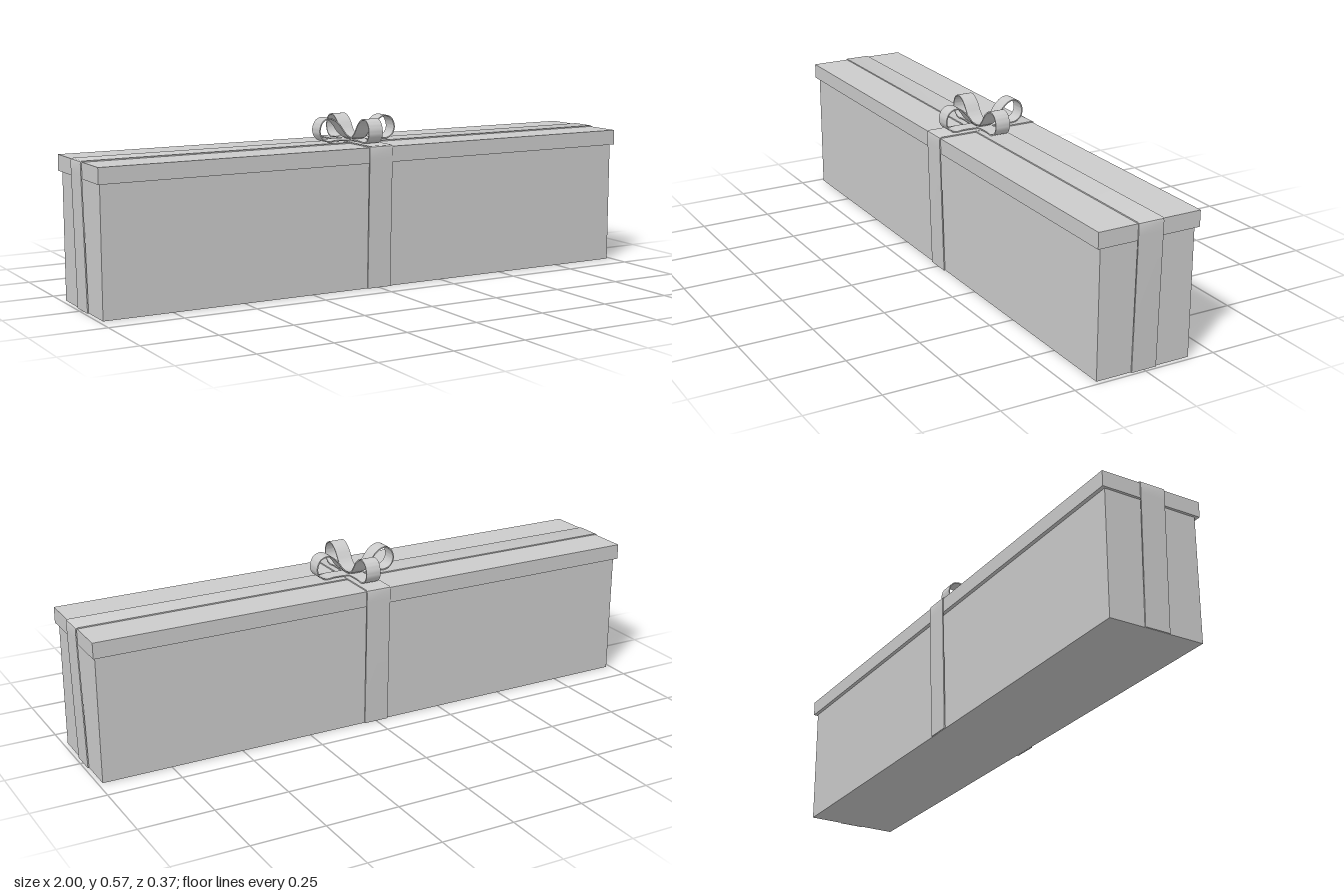
import * as THREE from 'three';
import { toCreasedNormals } from 'three/addons/utils/BufferGeometryUtils.js';

const material = new THREE.MeshStandardMaterial({ color: 0xcccccc });

function addMesh(parent, name, geometry) {
  const mesh = new THREE.Mesh(geometry, material);
  mesh.name = name;
  parent.add(mesh);
  return mesh;
}

// Thickens a line in the xy plane and extrudes it to a band of the given width along z
function band(points, thickness, width) {
  const sides = [1, -1].map((sign) => points.map((p, i) => {
    const a = points[Math.max(i - 1, 0)];
    const b = points[Math.min(i + 1, points.length - 1)];
    const along = new THREE.Vector2(b.x - a.x, b.y - a.y).normalize();
    const offset = sign * thickness / 2;
    return new THREE.Vector2(p.x - along.y * offset, p.y + along.x * offset);
  }));
  const shape = new THREE.Shape([...sides[0], ...sides[1].reverse()]);
  const geometry = new THREE.ExtrudeGeometry(shape, { depth: width, bevelEnabled: false });
  geometry.translate(0, 0, -width / 2);
  return toCreasedNormals(geometry, 0.6);
}

// Ribbon path: up one side, round the lid edge, over the top and down the other side
function ribbonPath(bottom, top, height) {
  const half = [
    [bottom, 0], [top, 0.44], [top + 0.0005, 0.474],
    [top - 0.001, height - 0.002], [top - 0.005, height],
  ].map(([x, y]) => new THREE.Vector2(x, y));
  const mirrored = half.map((p) => new THREE.Vector2(-p.x, p.y)).reverse();
  return [...half, ...mirrored];
}

function box(w, y0, y1, d) {
  return new THREE.BoxGeometry(w, y1 - y0, d).translate(0, (y0 + y1) / 2, 0);
}

export function createModel() {
  const model = new THREE.Group();
  model.name = 'giftBox';

  addMesh(model, 'box', box(1.97, 0, 0.44, 0.332));
  addMesh(model, 'lid', box(1.988, 0.426, 0.479, 0.358));

  // Two ribbons crossing at the centre of the lid
  addMesh(model, 'longRibbon', band(ribbonPath(0.988, 0.9975, 0.481), 0.004, 0.088));
  addMesh(model, 'crossRibbon', band(ribbonPath(0.169, 0.181, 0.482), 0.004, 0.088))
    .rotation.y = Math.PI / 2;

  // Bow of four equal loops
  const bow = new THREE.Group();
  bow.name = 'bow';
  model.add(bow);
  const loopCurve = new THREE.SplineCurve([
    [0, 0.4925], [0.025, 0.495], [0.048, 0.512], [0.07, 0.542], [0.09, 0.559],
    [0.11, 0.565], [0.13, 0.559], [0.142, 0.543], [0.146, 0.52], [0.136, 0.498],
    [0.113, 0.4865], [0.085, 0.4885], [0.05, 0.488], [0, 0.4855],
  ].map(([x, y]) => new THREE.Vector2(x, y)));
  const loopGeometry = band(loopCurve.getSpacedPoints(56), 0.004, 0.053);
  for (let i = 0; i < 4; i++) {
    addMesh(bow, 'bowLoop' + (i + 1), loopGeometry).rotation.y = i * Math.PI / 2;
  }

  return model;
}
